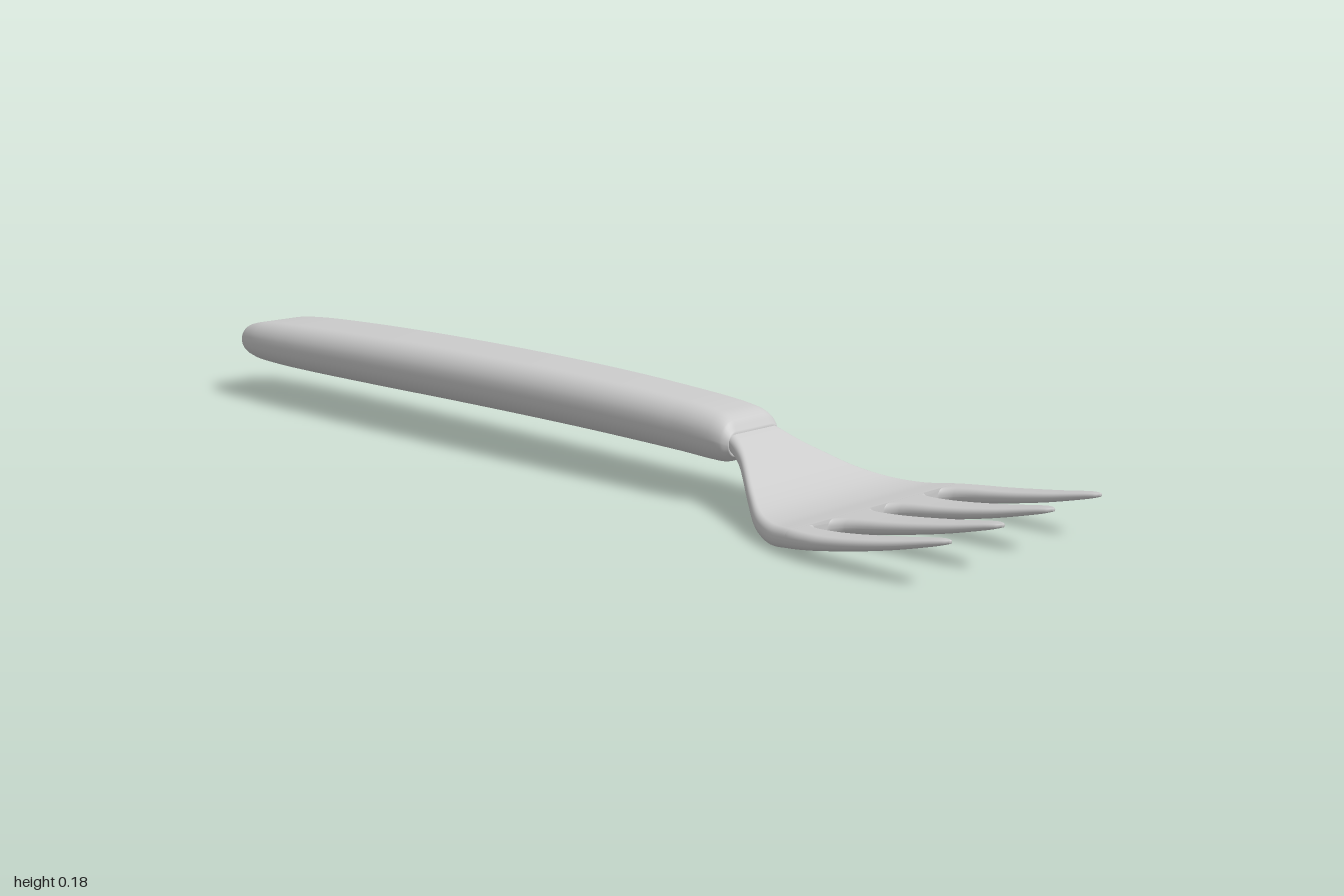
import * as THREE from 'three';

const material = new THREE.MeshStandardMaterial({ color: 0xcccccc });

// Smooth interpolation of table rows [x, a, b, ...] at x
function at(rows, x) {
  let i = 0;
  while (i < rows.length - 2 && x > rows[i + 1][0]) i++;
  const p = rows[i], q = rows[i + 1];
  const o = rows[Math.max(i - 1, 0)], r = rows[Math.min(i + 2, rows.length - 1)];
  const h = q[0] - p[0];
  const t = THREE.MathUtils.clamp((x - p[0]) / h, 0, 1);
  return p.slice(1).map((_, j) => {
    const k = j + 1;
    const m0 = h * (q[k] - o[k]) / (q[0] - o[0]);
    const m1 = h * (r[k] - p[k]) / (r[0] - p[0]);
    const t2 = t * t, t3 = t2 * t;
    return (2 * t3 - 3 * t2 + 1) * p[k] + (t3 - 2 * t2 + t) * m0
      + (3 * t2 - 2 * t3) * q[k] + (t3 - t2) * m1;
  });
}

// Loft of rounded rectangles along x; section(x) gives [zMin, zMax, yMin, yMax]
function loft(name, stations, section, steps = 6, roundness = 0.95) {
  const corner = 8, n = 4 * corner;
  const xs = [];
  stations.forEach((x, i) => {
    if (i === stations.length - 1) return xs.push(x);
    for (let s = 0; s < steps; s++) xs.push(x + (stations[i + 1] - x) * s / steps);
  });
  const pos = [], index = [];
  const mids = xs.map((x) => {
    const [z0, z1, y0, y1] = section(x);
    const w = Math.max((z1 - z0) / 2, 0.001), h = Math.max((y1 - y0) / 2, 0.001);
    const r = Math.min(w, h) * roundness;
    const zc = (z0 + z1) / 2, yc = (y0 + y1) / 2;
    for (let q = 0; q < 4; q++) {
      const sz = q === 0 || q === 3 ? 1 : -1, sy = q < 2 ? 1 : -1;
      for (let k = 0; k < corner; k++) {
        const a = (q + k / (corner - 1)) * Math.PI / 2;
        pos.push(x, yc + sy * (h - r) + r * Math.sin(a), zc + sz * (w - r) + r * Math.cos(a));
      }
    }
    return [x, yc, zc];
  });
  const last = (xs.length - 1) * n, c0 = xs.length * n;
  pos.push(...mids[0], ...mids[mids.length - 1]);
  for (let i = 0; i < n; i++) {
    const j = (i + 1) % n;
    for (let b = 0; b < last; b += n) {
      index.push(b + i, b + n + i, b + j, b + j, b + n + i, b + n + j);
    }
    index.push(c0, i, j, c0 + 1, last + j, last + i);
  }
  const geo = new THREE.BufferGeometry();
  geo.setAttribute('position', new THREE.Float32BufferAttribute(pos, 3));
  geo.setIndex(index);
  geo.computeVertexNormals();
  const mesh = new THREE.Mesh(geo, material);
  mesh.name = name;
  return mesh;
}

// Handle: x, half width, bottom, top
const HANDLE = [
  [-1, 0.06, 0.1, 0.132], [-0.992, 0.071, 0.092, 0.144], [-0.97, 0.081, 0.084, 0.154],
  [-0.92, 0.092, 0.079, 0.163], [-0.8, 0.1, 0.077, 0.17], [-0.55, 0.102, 0.078, 0.177],
  [-0.25, 0.098, 0.08, 0.18], [0.05, 0.091, 0.079, 0.177], [0.3, 0.083, 0.074, 0.167],
  [0.39, 0.08, 0.071, 0.158], [0.42, 0.075, 0.074, 0.147], [0.435, 0.066, 0.086, 0.126],
];

// Bend of the head: x, mid height, half thickness
const SPINE = [
  [0.4, 0.119, 0.017], [0.44, 0.106, 0.017], [0.5, 0.072, 0.016], [0.55, 0.043, 0.016],
  [0.6, 0.024, 0.0165], [0.65, 0.0175, 0.0175], [0.7, 0.023, 0.016], [0.8, 0.036, 0.011],
  [0.9, 0.053, 0.008], [0.98, 0.07, 0.005], [1, 0.074, 0.003],
];

// Head plate: x, half width
const PLATE = [
  [0.4, 0.06], [0.44, 0.068], [0.47, 0.082], [0.5, 0.105], [0.55, 0.147],
  [0.6, 0.188], [0.65, 0.216], [0.7, 0.232], [0.708, 0.233],
];

// Tines: x, inner edge, outer edge
const INNER_TINE = [
  [0.66, 0, 0.148], [0.7, 0.002, 0.146], [0.71, 0.016, 0.13], [0.73, 0.027, 0.117],
  [0.77, 0.032, 0.109], [0.85, 0.037, 0.101], [0.92, 0.044, 0.094], [0.97, 0.051, 0.087],
  [0.99, 0.057, 0.081], [1, 0.066, 0.072],
];
const OUTER_TINE = [
  [0.66, 0.148, 0.217], [0.7, 0.15, 0.232], [0.71, 0.167, 0.235], [0.73, 0.179, 0.239],
  [0.77, 0.185, 0.243], [0.85, 0.187, 0.24], [0.92, 0.189, 0.231], [0.97, 0.192, 0.222],
  [0.99, 0.196, 0.215], [1, 0.203, 0.208],
];

const stationsOf = (rows) => rows.map((r) => r[0]);
const bent = (x, z0, z1) => {
  const [y, t] = at(SPINE, x);
  return [z0, z1, y - t, y + t];
};

export function createModel() {
  const group = new THREE.Group();
  group.name = 'fork';

  group.add(loft('handle', stationsOf(HANDLE), (x) => {
    const [w, y0, y1] = at(HANDLE, x);
    return [-w, w, y0, y1];
  }));

  const head = new THREE.Group();
  head.name = 'head';
  head.add(loft('headPlate', stationsOf(PLATE), (x) => {
    const [w] = at(PLATE, x);
    return bent(x, -w, w);
  }));

  // Two inner and two outer tines, mirrored across z
  for (const [name, rows] of [['InnerTine', INNER_TINE], ['OuterTine', OUTER_TINE]]) {
    for (const [side, s] of [['front', 1], ['back', -1]]) {
      head.add(loft(side + name, stationsOf(rows), (x) => {
        const [a, b] = at(rows, x);
        return s > 0 ? bent(x, a, b) : bent(x, -b, -a);
      }));
    }
  }
  group.add(head);
  return group;
}
